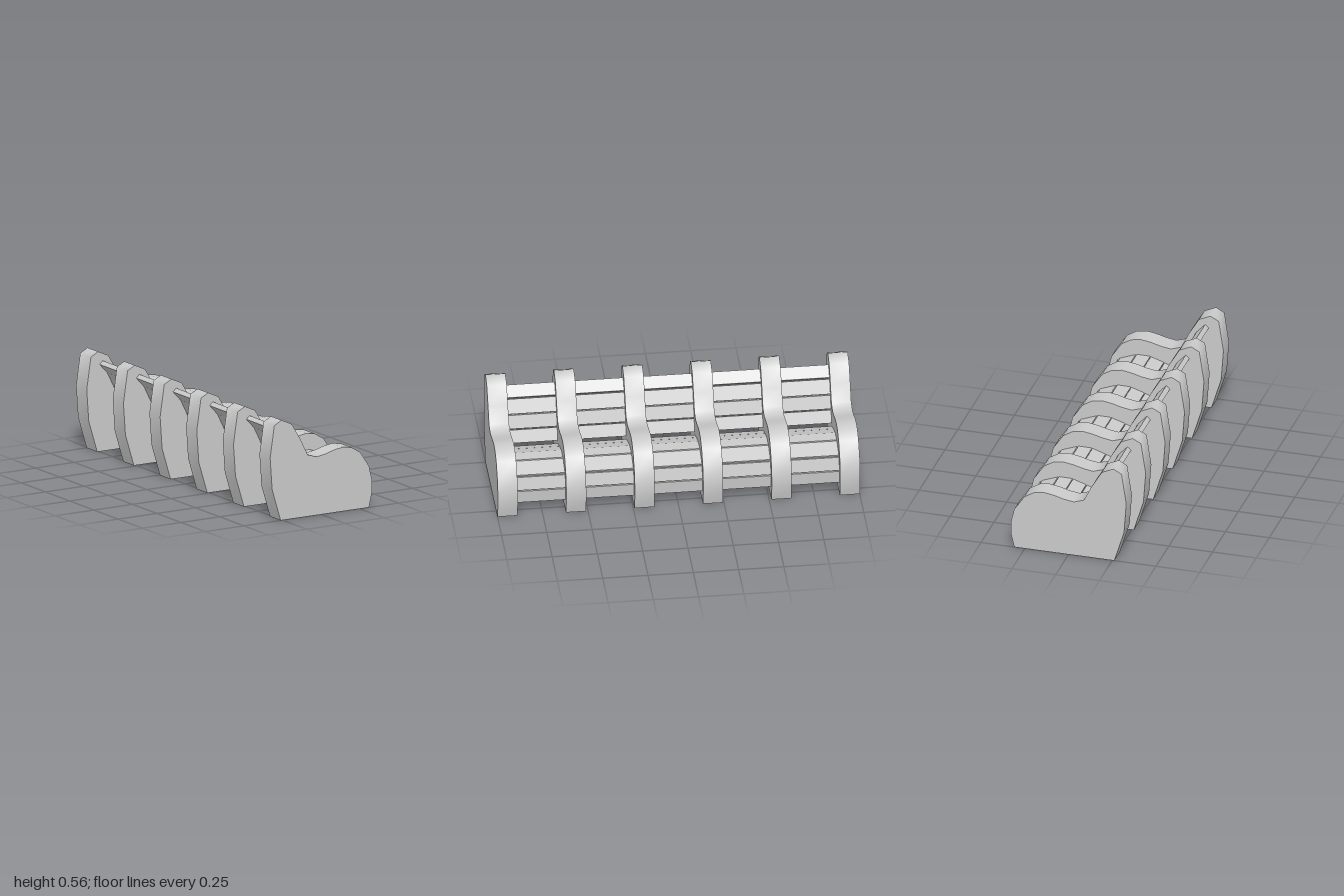
import * as THREE from 'three';
import { toCreasedNormals } from 'three/addons/utils/BufferGeometryUtils.js';

const material = new THREE.MeshStandardMaterial({ color: 0xcccccc });

// Side profile of the bench supports, x across and y up
const PROFILE = [
  [-0.262, 0], [0.31, 0], [0.329, 0.08], [0.329, 0.155], [0.31, 0.234], [0.253, 0.319],
  [0.197, 0.353], [0.14, 0.362], [0.083, 0.353], [0.028, 0.338], [-0.03, 0.329],
  [-0.087, 0.348], [-0.133, 0.44], [-0.19, 0.535], [-0.256, 0.565], [-0.303, 0.54],
  [-0.33, 0.36], [-0.317, 0.18],
];

// Outer face of each slat: start x, y and end x, y, from front edge to top of backrest
const SLATS = {
  frontSlat: [[0.283, 0.067, 0.29, 0.142], [0.29, 0.149, 0.272, 0.222]],
  seatSlat: [
    [0.262, 0.23, 0.172, 0.265], [0.165, 0.268, 0.088, 0.267],
    [0.085, 0.265, 0.01, 0.241], [0.006, 0.239, -0.065, 0.212],
  ],
  backrestSlat: [
    [-0.075, 0.225, -0.104, 0.292], [-0.106, 0.298, -0.132, 0.37],
    [-0.135, 0.376, -0.172, 0.45], [-0.177, 0.457, -0.226, 0.51],
  ],
};

const PANEL_DEPTH = 0.11;
const SLAT_THICKNESS = 0.028;

function makeSlat(name, [x0, y0, x1, y1]) {
  const dx = x1 - x0, dy = y1 - y0, width = Math.hypot(dx, dy);
  const slat = new THREE.Mesh(new THREE.BoxGeometry(width, SLAT_THICKNESS, 1.9), material);
  // sink the slat inward so that its outer face lies on the given line
  const sink = SLAT_THICKNESS / 2 / width;
  slat.position.set((x0 + x1) / 2 - dy * sink, (y0 + y1) / 2 + dx * sink, 0);
  slat.rotation.z = Math.atan2(dy, dx);
  slat.name = name;
  return slat;
}

export function createModel() {
  const bench = new THREE.Group();
  bench.name = 'bench';

  // Six evenly spaced support panels
  const shape = new THREE.Shape(PROFILE.map(([x, y]) => new THREE.Vector2(x, y)));
  const extruded = new THREE.ExtrudeGeometry(shape, { depth: PANEL_DEPTH, bevelEnabled: false });
  extruded.translate(0, 0, -PANEL_DEPTH / 2);
  const panelGeometry = toCreasedNormals(extruded, 1);
  for (let i = 0; i < 6; i++) {
    const panel = new THREE.Mesh(panelGeometry, material);
    panel.position.z = (i / 5 - 0.5) * (2 - PANEL_DEPTH);
    panel.name = 'supportPanel';
    bench.add(panel);
  }

  // Long slats running through all the panels
  for (const [name, lines] of Object.entries(SLATS)) {
    for (const line of lines) bench.add(makeSlat(name, line));
  }
  return bench;
}
